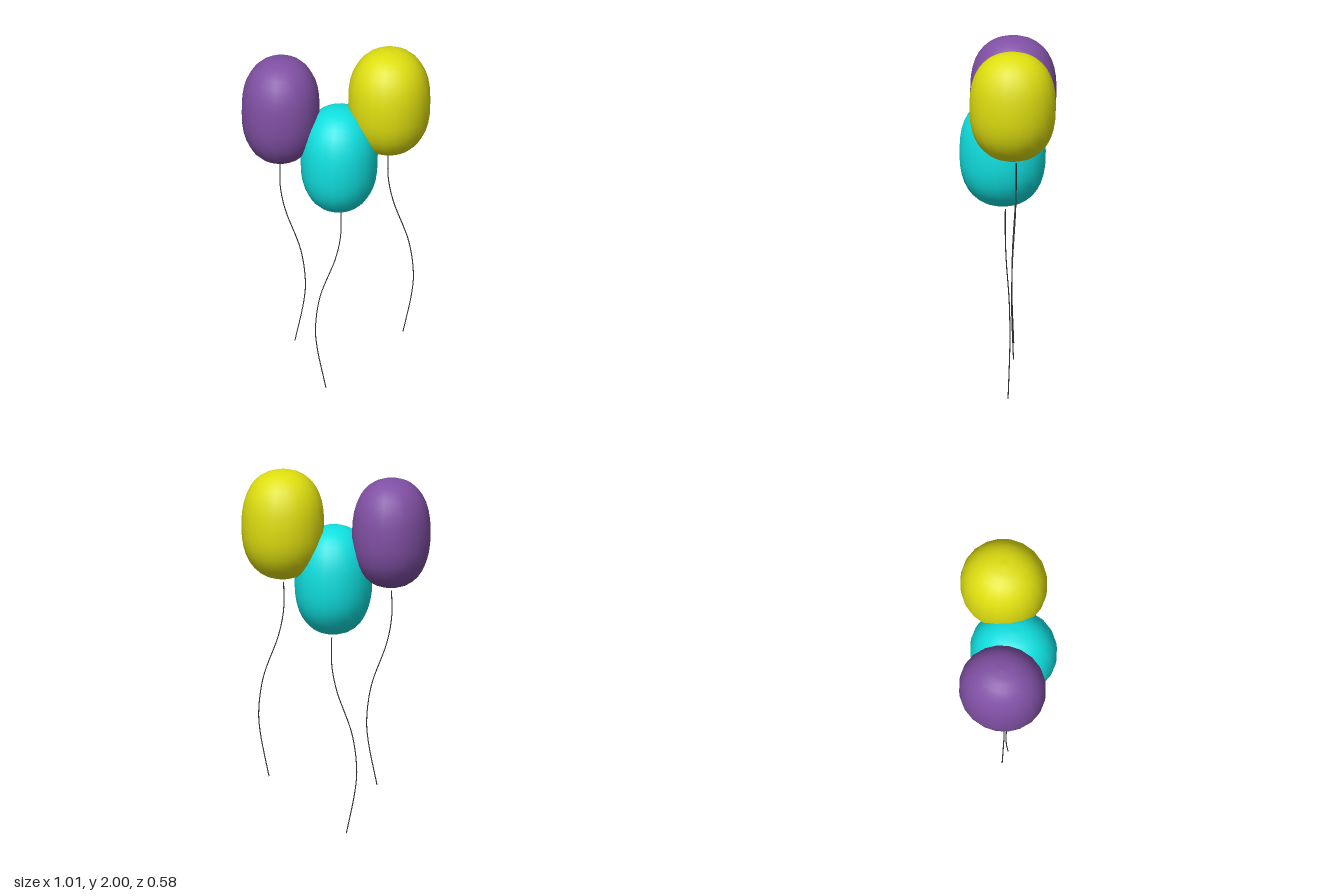
import * as THREE from 'three';

// Rounded, slightly squarish balloon of unit radius, turned around y
function balloonGeometry() {
  const steps = 18, power = 2 / 2.35, points = [];
  for (let i = 0; i <= steps; i++) {
    const t = -Math.PI / 2 + (Math.PI * i) / steps;
    const r = i === 0 || i === steps ? 0 : Math.pow(Math.cos(t), power);
    const y = Math.sign(t) * Math.pow(Math.abs(Math.sin(t)), power);
    points.push(new THREE.Vector2(r, y));
  }
  return new THREE.LatheGeometry(points, 20);
}

// Wavy string hanging down from its origin; dir mirrors the wave
function stringGeometry(dir) {
  const path = [
    [0, 0], [0, -0.15], [0.027, -0.29], [0.113, -0.53],
    [0.138, -0.72], [0.129, -0.835], [0.081, -1.072],
  ].map(([x, y]) => new THREE.Vector3(x * dir, y, 0));
  return new THREE.TubeGeometry(new THREE.CatmullRomCurve3(path), 32, 0.003, 6);
}

const BALLOONS = [
  { name: 'purpleBalloon', color: 0x8050a4, center: [-0.297, 1.658, 0.05], rx: 0.212, top: [-0.302, 1.345, 0.034], dir: 1 },
  { name: 'cyanBalloon', color: 0x10e0e0, center: [0.023, 1.39, 0.05], rx: 0.21, top: [0.029, 1.073, 0.034], dir: -1 },
  { name: 'yellowBalloon', color: 0xdede10, center: [0.281, 1.702, -0.053], rx: 0.224, top: [0.272, 1.389, -0.071], dir: 1 },
];

export function createModel() {
  const model = new THREE.Group();
  model.name = 'balloons';
  const body = balloonGeometry();
  const stringMaterial = new THREE.MeshStandardMaterial({ color: 0x333333 });

  for (const b of BALLOONS) {
    const group = new THREE.Group();
    group.name = b.name;

    // Inflated body
    const skin = new THREE.Mesh(body, new THREE.MeshStandardMaterial({ color: b.color }));
    skin.name = 'balloonBody';
    skin.position.set(...b.center);
    skin.scale.set(b.rx, 0.298, 0.237);

    // Hanging string
    const string = new THREE.Mesh(stringGeometry(b.dir), stringMaterial);
    string.name = 'balloonString';
    string.position.set(...b.top);

    group.add(skin, string);
    model.add(group);
  }
  return model;
}
